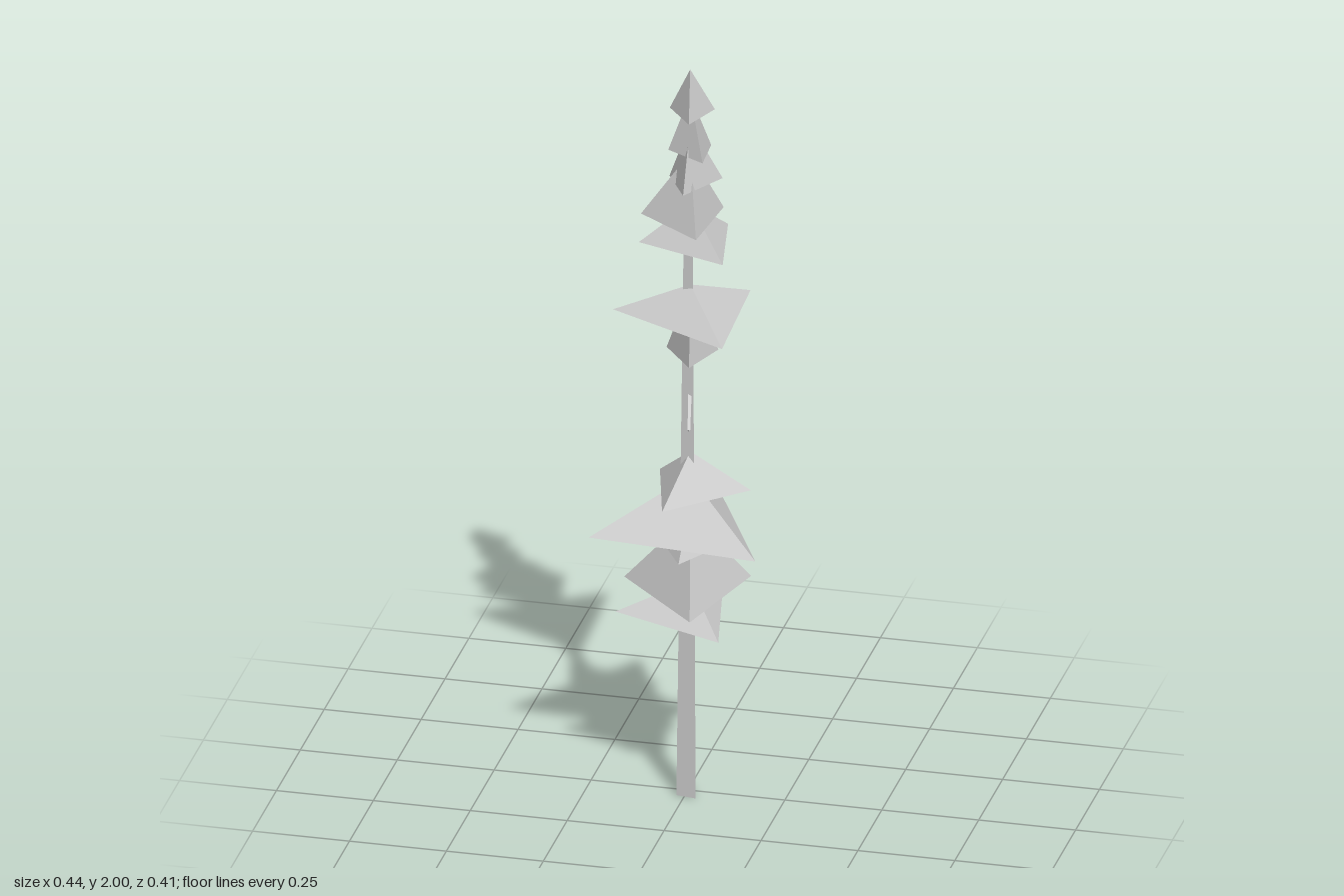
import * as THREE from 'three';

const CX = 0.012, CZ = 0.025; // axis of the tree

// Three-sided tapering shell: corners [x, z] at height y0, shrunk towards the axis at y1
function taper(corners, y0, y1, topScale, capped) {
  const ring = [...corners].sort((a, b) =>
    Math.atan2(CZ - a[1], a[0] - CX) - Math.atan2(CZ - b[1], b[0] - CX));
  const low = ring.map(([x, z]) => [x, y0, z]);
  const high = ring.map(([x, z]) => [CX + (x - CX) * topScale, y1, CZ + (z - CZ) * topScale]);
  const pos = [];
  for (let i = 0; i < 3; i++) {
    const j = (i + 1) % 3;
    pos.push(...low[i], ...low[j], ...high[j]);
    if (topScale > 0) pos.push(...low[i], ...high[j], ...high[i]);
  }
  if (capped) pos.push(...low[2], ...low[1], ...low[0], ...high[0], ...high[1], ...high[2]);
  const geo = new THREE.BufferGeometry();
  geo.setAttribute('position', new THREE.Float32BufferAttribute(pos, 3));
  geo.computeVertexNormals();
  return geo;
}

// Branch tiers, bottom to top: base height, apex height, three base corners
const TIERS = [
  [0.505, 0.59, [[-0.17, 0.07], [0.125, 0.19], [0.06, -0.12]]],
  [0.56, 0.77, [[-0.17, -0.023], [0.055, 0.205], [0.138, -0.103]]],
  [0.695, 0.81, [[-0.107, -0.048], [0.015, 0.16], [0.127, -0.035]]],
  [0.738, 0.88, [[-0.22, 0.147], [0.22, 0.187], [0.03, -0.207]]],
  [0.84, 0.947, [[-0.092, -0.08], [-0.025, 0.17], [0.16, -0.01]]],
  [1.207, 1.4, [[-0.06, -0.02], [0.025, 0.09], [0.07, -0.035]]],
  [1.317, 1.407, [[-0.187, 0.026], [0.135, 0.192], [0.12, -0.168]]],
  [1.522, 1.63, [[-0.114, 0.052], [0.123, 0.136], [0.077, -0.108]]],
  [1.585, 1.77, [[-0.117, 0.017], [0.055, 0.14], [0.075, -0.07]]],
  [1.685, 1.85, [[-0.05, -0.01], [0.012, 0.1], [0.083, -0.027]]],
  [1.77, 1.93, [[-0.046, 0.02], [0.057, 0.079], [0.052, -0.033]]],
  [1.875, 2.0, [[-0.048, -0.005], [0.023, 0.084], [0.064, -0.022]]],
];

export function createModel() {
  const tree = new THREE.Group();
  tree.name = 'tree';
  const grey = new THREE.MeshStandardMaterial({
    name: 'paleGrey', color: 0xcccccc, flatShading: true, side: THREE.DoubleSide,
  });
  const add = (name, geo) => {
    const mesh = new THREE.Mesh(geo, grey);
    mesh.name = name;
    tree.add(mesh);
    return mesh;
  };

  // Slender three-sided trunk
  add('trunk', taper([[-0.021, 0.036], [0.031, 0.045], [0.015, 0]], 0, 1.9, 0.35, true));

  // Open three-sided foliage cones
  TIERS.forEach(([y0, y1, corners], i) =>
    add(`branchTier${i + 1}`, taper(corners, y0, y1, 0, false)));

  // Bare twig sloping down from the trunk
  const from = new THREE.Vector3(0.012, 1.107, 0.03);
  const to = new THREE.Vector3(0.034, 1.053, 0.13);
  const dir = to.clone().sub(from);
  const twig = add('twig', new THREE.CylinderGeometry(0.004, 0.005, dir.length(), 3));
  twig.position.copy(from).add(to).multiplyScalar(0.5);
  twig.quaternion.setFromUnitVectors(new THREE.Vector3(0, 1, 0), dir.normalize());

  return tree;
}
